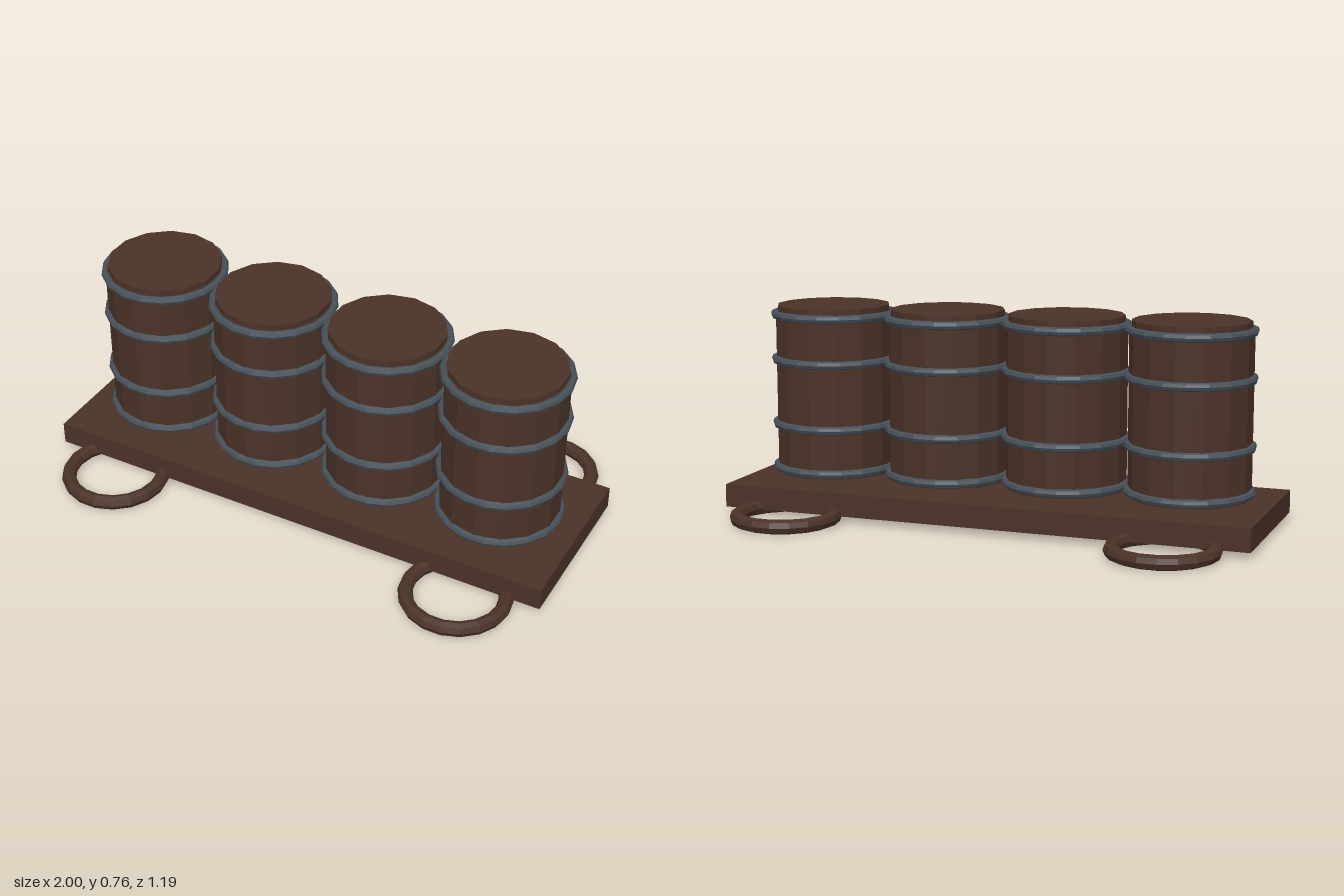
import * as THREE from 'three';

const wood = new THREE.MeshStandardMaterial({ color: 0x4a3227, flatShading: true });
wood.name = 'dark wood';
const iron = new THREE.MeshStandardMaterial({ color: 0x465058, flatShading: true });
iron.name = 'dull iron';

function add(parent, name, geometry, material, x, y, z) {
  const mesh = new THREE.Mesh(geometry, material);
  mesh.name = name;
  mesh.position.set(x, y, z);
  parent.add(mesh);
  return mesh;
}

// A torus lying flat around the vertical axis
const flatRing = (radius, tube, sides, segments) =>
  new THREE.TorusGeometry(radius, tube, sides, segments).rotateX(Math.PI / 2);

export function createModel() {
  const model = new THREE.Group();
  model.name = 'barrelCart';

  // Flat bed
  add(model, 'bed', new THREE.BoxGeometry(2, 0.085, 0.64), wood, 0, 0.066, 0);

  // Ring under each corner, lying flat
  const cornerRing = flatRing(0.178, 0.027, 8, 18);
  for (const x of [-0.713, 0.713])
    for (const z of [-0.393, 0.393]) add(model, 'cornerRing', cornerRing, wood, x, 0.028, z);

  // Row of four barrels, each with a lid and four hoops
  const body = new THREE.CylinderGeometry(0.222, 0.222, 0.613, 14);
  const lid = new THREE.CylinderGeometry(0.213, 0.213, 0.03, 14);
  const hoop = flatRing(0.222, 0.016, 8, 18);
  for (let i = 0; i < 4; i++) {
    const barrel = new THREE.Group();
    barrel.name = 'barrel';
    barrel.position.x = -0.7 + i * 0.465;
    add(barrel, 'barrelBody', body, wood, 0, 0.4365, 0);
    add(barrel, 'barrelLid', lid, wood, 0, 0.75, 0);
    for (const y of [0.15, 0.315, 0.56, 0.73]) add(barrel, 'hoop', hoop, iron, 0, y, 0);
    model.add(barrel);
  }
  return model;
}
